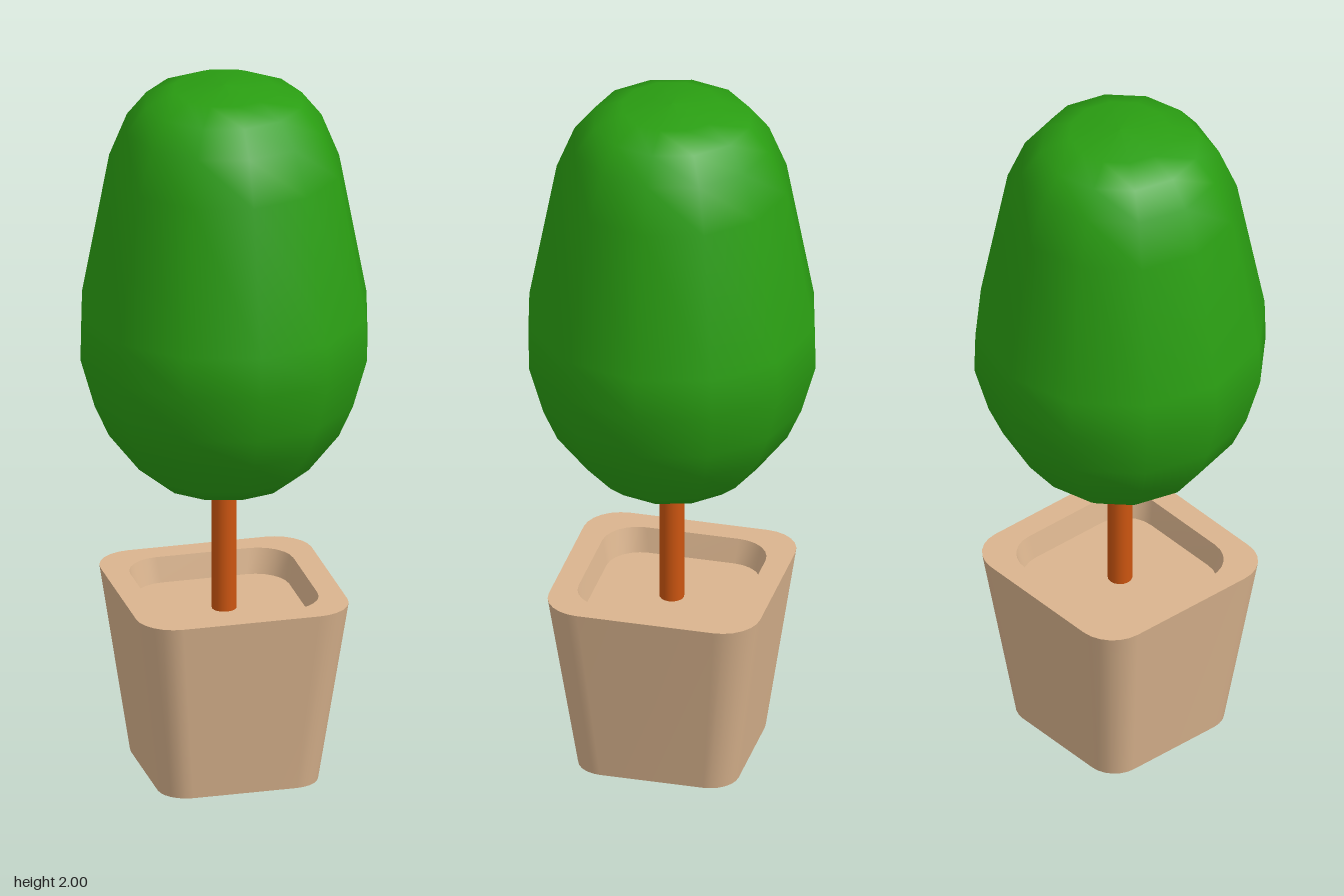
import * as THREE from 'three';

const material = (color) => new THREE.MeshStandardMaterial({ color, side: THREE.DoubleSide });

// Rounded square at height y: half width h, corner radius r
function ring(h, r, y, steps = 6) {
  const points = [];
  for (let corner = 0; corner < 4; corner++) {
    const mid = (corner + 0.5) * Math.PI / 2;
    const cx = Math.sign(Math.cos(mid)) * (h - r);
    const cz = Math.sign(Math.sin(mid)) * (h - r);
    for (let i = 0; i <= steps; i++) {
      const a = (corner + i / steps) * Math.PI / 2;
      points.push([cx + r * Math.cos(a), y, cz + r * Math.sin(a)]);
    }
  }
  return points;
}

// Closed band of faces between two rings
function band(from, to) {
  const n = from.length;
  const index = [];
  for (let i = 0; i < n; i++) {
    const j = (i + 1) % n;
    index.push(i, n + i, j, j, n + i, n + j);
  }
  const geometry = new THREE.BufferGeometry();
  geometry.setAttribute('position', new THREE.Float32BufferAttribute([...from, ...to].flat(), 3));
  geometry.setIndex(index);
  geometry.computeVertexNormals();
  return geometry;
}

export function createModel() {
  const model = new THREE.Group();
  const add = (name, geometry, mat, parent = model) => {
    const mesh = new THREE.Mesh(geometry, mat);
    mesh.name = name;
    parent.add(mesh);
    return mesh;
  };

  // Tapered square pot, open underneath, with a thick rim and sunken soil
  const pot = new THREE.Group();
  pot.name = 'pot';
  model.add(pot);
  const clay = material(0xdab48e);
  const foot = ring(0.225, 0.08, 0);
  const rimOuter = ring(0.298, 0.105, 0.53);
  const rimInner = ring(0.23, 0.1, 0.53);
  const soilEdge = ring(0.215, 0.095, 0.46);
  const soilCentre = ring(0.001, 0.0005, 0.46);
  add('potWall', band(foot, rimOuter), clay, pot);
  add('potRim', band(rimOuter, rimInner), clay, pot);
  add('potInnerWall', band(rimInner, soilEdge), clay, pot);
  add('soil', band(soilEdge, soilCentre), clay, pot);

  // Trunk
  const trunk = add('trunk', new THREE.CylinderGeometry(0.034, 0.034, 0.38, 16, 1, true), material(0xcc5510));
  trunk.position.y = 0.65;

  // Twelve-sided clipped crown
  const profile = [
    [0, 0.82], [0.19, 0.85], [0.24, 0.89], [0.325, 1.0], [0.365, 1.09], [0.405, 1.23],
    [0.402, 1.35], [0.325, 1.76], [0.275, 1.885], [0.22, 1.955], [0.14, 1.99], [0, 2],
  ].map(([x, y]) => new THREE.Vector2(x, y));
  add('foliage', new THREE.LatheGeometry(profile, 12), material(0x2a9e12));

  return model;
}
